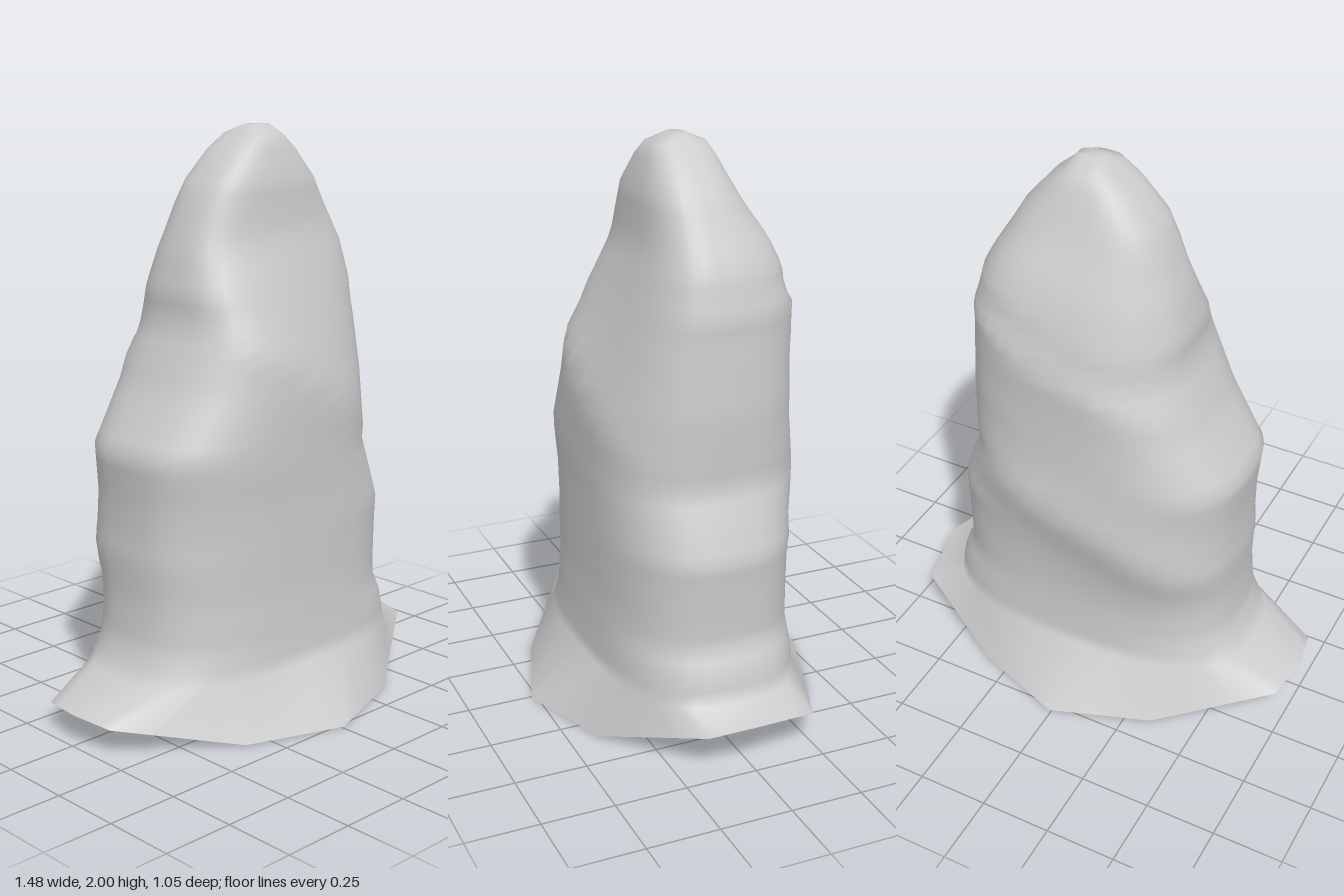
import * as THREE from 'three';

const SEG = 36;

// Body outline by height: [y, xMin, xMax, zFront, zBack]
const OUTLINE = [
  [0.19, -0.56, 0.62, 0.345, 0.345],
  [0.29, -0.51, 0.6, 0.335, 0.335],
  [0.37, -0.5, 0.56, 0.33, 0.33],
  [0.45, -0.495, 0.56, 0.325, 0.33],
  [0.6, -0.5, 0.565, 0.325, 0.345],
  [0.67, -0.495, 0.57, 0.325, 0.365],
  [0.78, -0.495, 0.53, 0.325, 0.39],
  [0.9, -0.505, 0.48, 0.33, 0.37],
  [0.95, -0.51, 0.483, 0.33, 0.36],
  [1.15, -0.385, 0.487, 0.335, 0.35],
  [1.34, -0.3, 0.475, 0.25, 0.355],
  [1.39, -0.29, 0.47, 0.22, 0.325],
  [1.46, -0.29, 0.47, 0.2, 0.32],
  [1.6, -0.255, 0.435, 0.175, 0.275],
  [1.65, -0.235, 0.41, 0.16, 0.255],
  [1.74, -0.2, 0.355, 0.15, 0.21],
  [1.82, -0.16, 0.31, 0.145, 0.175],
  [1.92, -0.07, 0.225, 0.115, 0.13],
  [1.97, 0, 0.165, 0.095, 0.1],
  [2.0, 0.05, 0.14, 0.03, 0.03],
];

// Flared hem corners, going from +x round past +z: [x, y, z]
const HEM = [
  [0.74, 0.16, 0], [0.71, 0.14, 0.155], [0.35, 0.01, 0.4], [0.01, 0.005, 0.52],
  [-0.34, 0.01, 0.4], [-0.715, 0.1, 0.155], [-0.74, 0.11, 0], [-0.715, 0.1, -0.16],
  [-0.34, 0.01, -0.41], [0.01, 0.005, -0.53], [0.34, 0.01, -0.41], [0.69, 0.13, -0.24],
];

function outlineAt(y, col) {
  let k = 0;
  while (k < OUTLINE.length - 2 && OUTLINE[k + 1][0] < y) k++;
  const a = OUTLINE[k], b = OUTLINE[k + 1];
  const t = THREE.MathUtils.clamp((y - a[0]) / (b[0] - a[0]), 0, 1);
  return a[col] + (b[col] - a[col]) * t;
}

// Front: upright below a diagonal crease, sloping back above it
function frontDepth(x, y) {
  const crease = 1.19 - 0.64 * x;
  if (y >= 1.6) return outlineAt(y, 3);
  if (y <= crease) return Math.max(outlineAt(Math.min(y, 1.15), 3), 0.325);
  return 0.335 + (0.175 - 0.335) * (y - crease) / (1.6 - crease);
}

// Back: ledges that slant down towards -x
function backDepth(x, y) {
  const fade = THREE.MathUtils.smoothstep(y, 0.3, 0.6) * (1 - THREE.MathUtils.smoothstep(y, 1.55, 1.9));
  return outlineAt(y - 0.38 * x * fade, 4);
}

function bodyRing(y) {
  const x0 = outlineAt(y, 1), x1 = outlineAt(y, 2);
  const ring = [];
  for (let i = 0; i < SEG; i++) {
    const t = i / SEG * Math.PI * 2;
    const c = Math.cos(t), s = Math.sin(t);
    const x = (x0 + x1) / 2 + (x1 - x0) / 2 * Math.sign(c) * Math.abs(c) ** 0.74;
    const depth = s > 0 ? frontDepth(x, y) : backDepth(x, y);
    ring.push([x, y, depth * Math.sign(s) * Math.abs(s) ** 0.74]);
  }
  return ring;
}

// Hem ring, scaled inwards for the underside
function hemRing(scale, drop) {
  const ring = [], sub = SEG / HEM.length;
  for (let i = 0; i < SEG; i++) {
    const a = HEM[Math.floor(i / sub)], b = HEM[(Math.floor(i / sub) + 1) % HEM.length];
    const t = (i % sub) / sub;
    const p = a.map((v, k) => v + (b[k] - v) * t);
    ring.push([p[0] * scale, p[1] * drop + 0.005 * (1 - drop), p[2] * scale]);
  }
  return ring;
}

// Skin a stack of rings and close the last one with a centre point
function loft(name, rings, tip) {
  const index = [], last = (rings.length - 1) * SEG, centre = rings.length * SEG;
  for (let j = 0; j < rings.length - 1; j++) {
    for (let i = 0; i < SEG; i++) {
      const a = j * SEG + i, b = j * SEG + (i + 1) % SEG;
      index.push(a, a + SEG, b, b, a + SEG, b + SEG);
    }
  }
  for (let i = 0; i < SEG; i++) index.push(last + i, centre, last + (i + 1) % SEG);
  const geometry = new THREE.BufferGeometry();
  geometry.setAttribute('position', new THREE.Float32BufferAttribute([...rings.flat(2), ...tip], 3));
  geometry.setIndex(index);
  geometry.computeVertexNormals();
  const mesh = new THREE.Mesh(geometry, new THREE.MeshStandardMaterial({ color: 0xcccccc }));
  mesh.name = name;
  return mesh;
}

export function createModel() {
  const group = new THREE.Group();
  group.name = 'rockPillar';

  // Pillar with its flared hem
  const heights = OUTLINE.map((row) => row[0]);
  const rows = heights.flatMap((y, k) => {
    const next = heights[k + 1] ?? y;
    const n = Math.max(1, Math.round((next - y) / 0.04));
    return Array.from({ length: n }, (_, m) => y + (next - y) * m / n);
  });
  group.add(loft('pillar', [hemRing(1, 1), ...rows.map(bodyRing)], [0.09, 2, 0]));

  // Underside, wound the other way so that it faces down
  const under = loft('underside', [hemRing(1, 1), hemRing(0.86, 0.6), hemRing(0.7, 0.2)], [0, 0.005, 0]);
  const idx = under.geometry.index.array;
  for (let i = 0; i < idx.length; i += 3) [idx[i], idx[i + 1]] = [idx[i + 1], idx[i]];
  under.geometry.computeVertexNormals();
  under.material.side = THREE.DoubleSide;
  group.add(under);

  return group;
}
